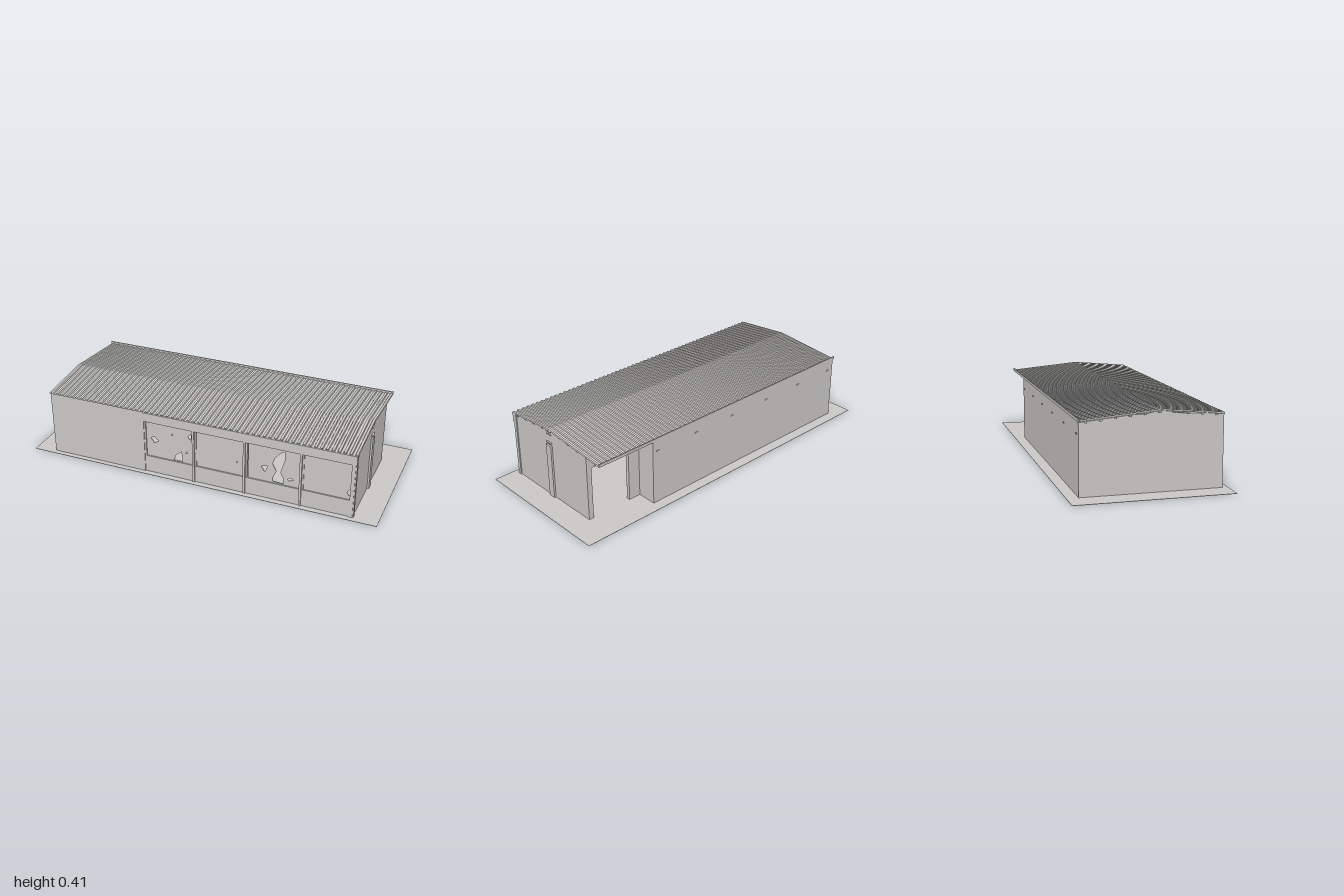
import * as THREE from 'three';

const RIDGE_Z = 0.06, FRONT_Z = 0.382, BACK_Z = -0.345;
const X0 = -0.88, X1 = 0.87;

// height of the underside of the roof at depth z
function roofY(z) {
  return z > RIDGE_Z
    ? 0.4 - (z - RIDGE_Z) / (FRONT_Z - RIDGE_Z) * 0.03
    : 0.4 - (RIDGE_Z - z) / (RIDGE_Z - BACK_Z) * 0.036;
}

function toShape(points) {
  return new THREE.Shape(points.map(([x, y]) => new THREE.Vector2(x, y)));
}

const rect = (x0, y0, x1, y1) => [[x0, y0], [x1, y0], [x1, y1], [x0, y1]];

function slab(points, holes, depth) {
  const shape = toShape(points);
  for (const h of holes) shape.holes.push(new THREE.Path(h.map(([x, y]) => new THREE.Vector2(x, y))));
  return new THREE.ExtrudeGeometry(shape, { depth, bevelEnabled: false });
}

// corrugated sheet running over the ridge from eave to eave
function corrugatedRoof(x0, x1, ribs, height) {
  const pos = [], pitch = (x1 - x0) / ribs, section = [];
  for (let i = 0; i < ribs; i++) {
    const x = x0 + i * pitch;
    section.push([x, 0], [x + pitch * 0.4, 0], [x + pitch * 0.5, height], [x + pitch * 0.9, height]);
  }
  section.push([x1, 0]);
  const rows = [FRONT_Z, RIDGE_Z, BACK_Z];
  for (let r = 0; r < 2; r++) {
    for (let i = 0; i < section.length - 1; i++) {
      const p = (s, z) => [s[0], roofY(z) + s[1], z];
      const a = p(section[i], rows[r]), b = p(section[i + 1], rows[r]);
      const c = p(section[i + 1], rows[r + 1]), d = p(section[i], rows[r + 1]);
      pos.push(...a, ...b, ...c, ...a, ...c, ...d);
    }
  }
  const g = new THREE.BufferGeometry();
  g.setAttribute('position', new THREE.Float32BufferAttribute(pos, 3));
  g.computeVertexNormals();
  return g;
}

export function createModel() {
  const group = new THREE.Group();
  const grey = new THREE.MeshStandardMaterial({ color: 0xc8c7c5, side: THREE.DoubleSide });
  grey.name = 'concreteGrey';

  function add(name, geometry) {
    const m = new THREE.Mesh(geometry, grey);
    m.name = name;
    group.add(m);
    return m;
  }
  function box(name, x0, x1, y0, y1, z0, z1) {
    const m = add(name, new THREE.BoxGeometry(x1 - x0, y1 - y0, z1 - z0));
    m.position.set((x0 + x1) / 2, (y0 + y1) / 2, (z0 + z1) / 2);
    return m;
  }

  box('groundSlab', -1, 1, 0, 0.002, -0.405, 0.405);

  // front: plain bay, window bay with one long opening, lintel above
  box('frontWallPlain', X0, -0.31, 0, 0.37, 0.355, 0.377);
  const windowWall = add('frontWindowWall',
    slab(rect(-0.31, 0, X1, 0.37), [rect(-0.3, 0.1, 0.86, 0.315)], 0.02));
  windowWall.position.z = 0.353;
  box('frontLintel', -0.312, X1, 0.315, 0.368, 0.36, 0.381);

  // broken window panes
  const panes = [
    { x: [-0.3, -0.02], holes: [
      [[-0.275, 0.214], [-0.254, 0.225], [-0.227, 0.203], [-0.254, 0.187]],
      [[-0.142, 0.102], [-0.126, 0.139], [-0.094, 0.166], [-0.088, 0.102]],
      [[-0.055, 0.267], [-0.04, 0.283], [-0.025, 0.278], [-0.027, 0.257], [-0.042, 0.252]],
      [[-0.152, 0.257], [-0.144, 0.268], [-0.142, 0.255]],
      [[-0.07, 0.163], [-0.06, 0.175], [-0.058, 0.163]]] },
    { x: [-0.005, 0.27], holes: [[[0.222, 0.176], [0.227, 0.184], [0.23, 0.176]]] },
    { x: [0.29, 0.565], holes: [
      [[0.425, 0.11], [0.43, 0.14], [0.447, 0.171], [0.425, 0.214], [0.436, 0.25], [0.463, 0.283],
        [0.49, 0.3], [0.49, 0.25], [0.479, 0.214], [0.468, 0.171], [0.484, 0.14], [0.484, 0.106]],
      [[0.361, 0.187], [0.398, 0.193], [0.382, 0.155]],
      [[0.508, 0.139], [0.52, 0.151], [0.542, 0.142], [0.515, 0.13]]] },
    { x: [0.585, 0.86], holes: [[[0.825, 0.14], [0.837, 0.158], [0.846, 0.138], [0.838, 0.122]]] },
  ];
  for (const { x, holes } of panes) {
    const pane = add('windowPane', slab(rect(x[0], 0.1, x[1], 0.315), holes, 0.004));
    pane.position.z = 0.362;
  }
  for (const x of [-0.02, 0.27, 0.58]) {
    box('windowMullion', x - 0.015, x + 0.015, 0.1, 0.315, 0.354, 0.37);
    box('frontPillar', x - 0.006, x + 0.006, 0, 0.316, 0.365, 0.38);
  }

  // gable walls, with ragged gaps under the roof sheet
  const gableTop = [[0.377, 0], [0.28, 0], [0.26, -0.004], [0.16, -0.008], [0.1, -0.002], [RIDGE_Z, 0],
    [0.02, -0.002], [-0.01, -0.006], [-0.07, -0.003], [-0.1, 0], [-0.225, 0]];
  function gable(name, x, backZ, extra) {
    const top = [...gableTop, ...extra].map(([z, d]) => [z, roofY(z) + d]);
    const g = slab([[backZ, 0], [0.377, 0], ...top], [], 0.02);
    g.rotateY(-Math.PI / 2);
    add(name, g).position.x = x;
  }
  gable('leftGableWall', X1 - 0.006, -0.235, [[-0.235, -0.001]]);
  gable('rightGableWall', X0 + 0.02, BACK_Z, [[-0.24, -0.003], [BACK_Z, -0.003]]);

  // pilaster and small fittings on the gable beside the porch
  box('gablePilaster', X1 - 0.02, X1 + 0.004, 0, 0.31, 0.045, 0.085);
  box('gableBracket', X1 - 0.01, X1 + 0.003, 0.322, 0.327, 0.045, 0.085);
  box('gableBracket', X1 - 0.01, X1, 0.37, 0.373, 0.047, 0.083);
  for (const z of [0.054, 0.077]) box('ridgeVent', X1 - 0.01, X1 + 0.001, 0.387, 0.399, z - 0.008, z + 0.008);

  // back wall and recessed corner porch with its doorway
  box('backWall', X0, 0.53, 0, 0.362, BACK_Z, BACK_Z + 0.02);
  box('porchSideWall', 0.51, 0.53, 0, 0.365, BACK_Z, -0.215);
  const porchWall = add('porchDoorWall',
    slab([[0.52, 0], [0.6, 0], [0.6, 0.295], [0.835, 0.295], [0.835, 0], [X1 - 0.006, 0],
      [X1 - 0.006, 0.37], [0.52, 0.37]], [], 0.02));
  porchWall.position.z = -0.235;
  for (let i = 0; i < 6; i++) {
    const x = 0.495 - i * 0.267;
    box('backWallVent', x - 0.01, x + 0.01, 0.3, 0.307, BACK_Z - 0.003, BACK_Z + 0.005);
  }

  // inner columns and sloping rafters
  for (const x of [0.58, 0.29, 0, -0.29, -0.58]) {
    box('innerColumn', x - 0.012, x + 0.012, 0, 0.365, -0.23, -0.205);
    const lower = (z) => [z, roofY(z) - 0.03], upper = (z) => [z, roofY(z) - 0.01];
    const g = slab([lower(-0.225), lower(RIDGE_Z), lower(0.355), upper(0.355), upper(RIDGE_Z), upper(-0.225)], [], 0.02);
    g.rotateY(-Math.PI / 2);
    add('rafter', g).position.x = x + 0.01;
  }

  // purlins, whose ends show past the right gable
  for (let i = 0; i < 10; i++) {
    const z = -0.31 + i * 0.072;
    box('purlin', X0 - 0.007, X1 - 0.002, roofY(z) - 0.01, roofY(z) - 0.001, z - 0.006, z + 0.006);
  }

  // roof sheet, ridge cap and rear edge rail
  add('corrugatedRoof', corrugatedRoof(X0 - 0.008, X1 + 0.003, 58, 0.006));
  box('rearEdgeRail', X0 - 0.008, X1 + 0.003, 0.363, 0.379, BACK_Z - 0.002, BACK_Z + 0.004);

  return group;
}
